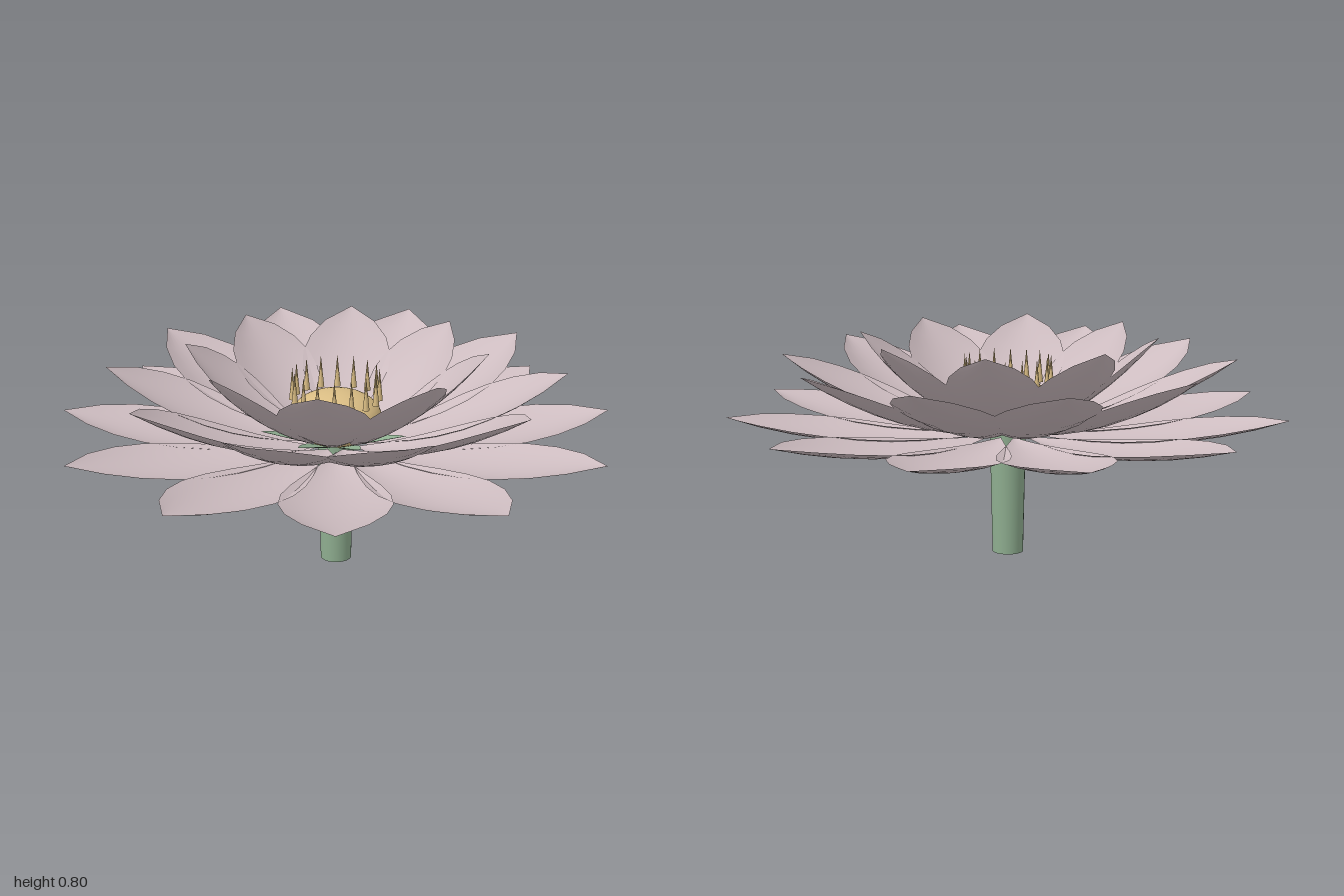
import * as THREE from 'three';

const mat = (name, color, side = THREE.FrontSide) => {
  const m = new THREE.MeshStandardMaterial({ color, side });
  m.name = name;
  return m;
};

// Curved, cupped leaf blade running along +x; y = y0 + a t + b t^2 along its length
function bladeGeometry({ r0, r1, half, y0, a, b, cup, power = 1.3, nu = 8, nv = 8 }) {
  const pos = [], index = [];
  for (let i = 0; i <= nu; i++) {
    const t = i / nu;
    const w = Math.pow(Math.max(0, Math.sin(Math.PI * Math.pow(t, power))), 0.8);
    for (let j = 0; j <= nv; j++) {
      const s = (j / nv) * 2 - 1;
      pos.push(r0 + (r1 - r0) * t, y0 + a * t + b * t * t + cup * s * s * w, s * w * half);
    }
  }
  for (let i = 0; i < nu; i++) {
    for (let j = 0; j < nv; j++) {
      const p = i * (nv + 1) + j, q = p + nv + 1;
      index.push(p, p + 1, q, q, p + 1, q + 1);
    }
  }
  const g = new THREE.BufferGeometry();
  g.setAttribute('position', new THREE.Float32BufferAttribute(pos, 3));
  g.setIndex(index);
  g.computeVertexNormals();
  return g;
}

// Ring of identical blades around the y axis; offset in degrees from +x towards +z
function ring(name, part, count, offset, shape, material) {
  const group = new THREE.Group();
  group.name = name;
  const geometry = bladeGeometry(shape);
  for (let i = 0; i < count; i++) {
    const mesh = new THREE.Mesh(geometry, material);
    mesh.name = part;
    mesh.rotation.y = -THREE.MathUtils.degToRad(offset + (360 * i) / count);
    group.add(mesh);
  }
  return group;
}

export function createModel() {
  const model = new THREE.Group();
  model.name = 'flower';
  const petal = mat('palePink', 0xcdbcc0, THREE.DoubleSide);
  const leaf = mat('sepalGreen', 0x8fae90, THREE.DoubleSide);
  const green = mat('stemGreen', 0x8fae90);
  const gold = mat('gold', 0xdabd84);

  const flower = new THREE.Group();
  flower.name = 'blossom';
  flower.position.x = -0.018;
  model.add(flower);

  // Three rings of petals, steeper towards the centre
  flower.add(
    ring('outerPetals', 'outerPetal', 11, 2.2,
      { r0: 0.08, r1: 1.007, half: 0.19, y0: 0.44, a: -0.122, b: 0.202, cup: 0.04 }, petal),
    ring('middlePetals', 'middlePetal', 10, 9.6,
      { r0: 0.08, r1: 0.82, half: 0.19, y0: 0.45, a: 0.03, b: 0.24, cup: 0.05 }, petal),
    ring('innerPetals', 'innerPetal', 8, 4.4,
      { r0: 0.08, r1: 0.54, half: 0.165, y0: 0.46, a: 0.14, b: 0.2, cup: 0.045 }, petal),
    // Small sepals under the blossom
    ring('sepals', 'sepal', 8, 26,
      { r0: 0.04, r1: 0.28, half: 0.035, y0: 0.44, a: 0.08, b: 0, cup: 0.01, power: 0.8, nu: 6, nv: 4 }, leaf)
  );

  // Tapered stem
  const stem = new THREE.Mesh(new THREE.CylinderGeometry(0.066, 0.056, 0.46, 20), green);
  stem.name = 'stem';
  stem.position.y = 0.23;
  flower.add(stem);

  // Flattened seed head
  const head = new THREE.Mesh(new THREE.SphereGeometry(0.165, 32, 20), gold);
  head.name = 'seedHead';
  head.scale.y = 0.6;
  head.position.y = 0.545;
  flower.add(head);

  // Ring of pointed stamens
  const stamens = new THREE.Group();
  stamens.name = 'stamens';
  const cone = new THREE.ConeGeometry(0.012, 0.12, 8);
  for (let i = 0; i < 16; i++) {
    const angle = (i / 16) * Math.PI * 2;
    const stamen = new THREE.Mesh(cone, gold);
    stamen.name = 'stamen';
    stamen.position.set(Math.cos(angle) * 0.155, 0.67, Math.sin(angle) * 0.155);
    stamens.add(stamen);
  }
  flower.add(stamens);
  return model;
}
